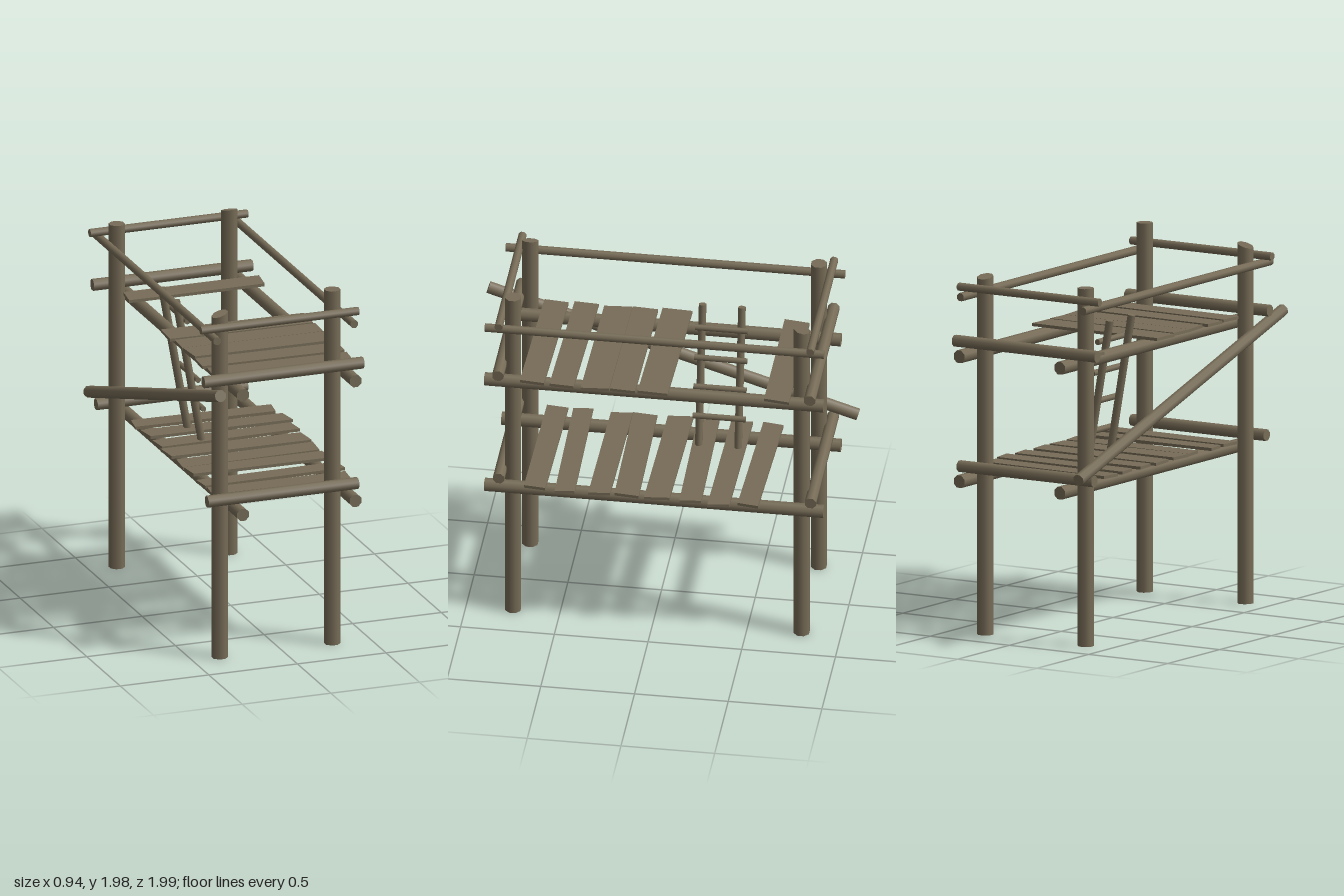
import * as THREE from 'three';

const wood = new THREE.MeshStandardMaterial({ color: 0x776c57 });
wood.name = 'weathered wood';

export function createModel() {
  const group = new THREE.Group();

  const add = (name, geometry) => {
    const mesh = new THREE.Mesh(geometry, wood);
    mesh.name = name;
    group.add(mesh);
    return mesh;
  };

  // Round pole between two points
  const pole = (name, a, b, radius) => {
    const from = new THREE.Vector3(...a);
    const to = new THREE.Vector3(...b);
    const dir = to.clone().sub(from);
    const geometry = new THREE.CylinderGeometry(radius, radius, dir.length(), 8);
    geometry.rotateY(Math.PI / 8);
    const mesh = add(name, geometry);
    mesh.position.copy(from).add(to).multiplyScalar(0.5);
    mesh.quaternion.setFromUnitVectors(new THREE.Vector3(0, 1, 0), dir.normalize());
  };

  // Upright post whose top is sawn at a slant
  const post = (x, z, height, slopeX, slopeZ) => {
    const geometry = new THREE.CylinderGeometry(0.044, 0.044, height, 8);
    geometry.rotateY(Math.PI / 8);
    geometry.translate(0, height / 2, 0);
    const p = geometry.attributes.position;
    for (let i = 0; i < p.count; i++) {
      if (p.getY(i) > height / 2) p.setY(i, height + slopeX * p.getX(i) + slopeZ * p.getZ(i));
    }
    add('post', geometry).position.set(x, 0, z);
  };
  post(0.29, 0.75, 1.98, 0, 0);
  post(-0.345, 0.75, 1.92, 0.35, 0);
  post(0.29, -0.79, 1.92, 0, 0.25);
  post(-0.345, -0.79, 1.92, 0, 0);

  // Long deck beams and hand rails
  for (const x of [-0.265, 0.37]) {
    for (const y of [0.83, 1.5]) pole('deckBeam', [x, y, -0.92], [x, y, 0.89], 0.036);
  }
  for (const x of [-0.41, 0.362]) pole('handRail', [x, 1.82, -0.92], [x, 1.82, 0.89], 0.023);

  // Cross bars on both ends: height, left end, right end, radius
  const crossBars = [[0.9, -0.44, 0.41, 0.032], [1.57, -0.46, 0.44, 0.032], [1.862, -0.475, 0.415, 0.022]];
  for (const [y, x0, x1, r] of crossBars) {
    for (const z of [0.81, -0.853]) pole('crossBar', [x0, y, z], [x1, y, z], r);
  }

  // Diagonal brace
  pole('diagonalBrace', [-0.428, 1.546, 0.985], [-0.428, 0.925, -0.987], 0.033);

  // Uneven plank: centre z, width, tilt across the deck, end positions, end slant
  const plank = (name, y, [z, width, tilt, x0, x1, slant]) => {
    const geometry = new THREE.BoxGeometry(x1 - x0, 0.016, width);
    geometry.translate((x0 + x1) / 2, 0, 0);
    const p = geometry.attributes.position;
    for (let i = 0; i < p.count; i++) {
      const x = p.getX(i), pz = p.getZ(i);
      p.setX(i, x + slant * Math.sign(pz));
      p.setZ(i, pz + tilt * (x - 0.05) / 0.8);
    }
    geometry.computeVertexNormals();
    add(name, geometry).position.set(0, y, z);
  };

  const upperPlanks = [
    [-0.675, 0.135, 0, -0.335, 0.43, -0.009],
    [-0.025, 0.16, 0.018, -0.355, 0.445, -0.004],
    [0.14, 0.135, 0.01, -0.345, 0.445, -0.004],
    [0.285, 0.15, 0.012, -0.34, 0.45, 0.006],
    [0.46, 0.13, 0.02, -0.35, 0.445, -0.004],
    [0.62, 0.13, 0.02, -0.345, 0.435, -0.006],
  ];
  for (const data of upperPlanks) plank('upperPlank', 1.542, data);

  const lowerPlanks = [
    [-0.535, 0.11, 0.025, -0.345, 0.438, -0.008],
    [-0.375, 0.115, 0.012, -0.338, 0.46, 0.008],
    [-0.21, 0.115, -0.015, -0.338, 0.445, 0.006],
    [-0.045, 0.135, 0.015, -0.345, 0.44, 0.006],
    [0.13, 0.13, -0.012, -0.34, 0.435, -0.006],
    [0.265, 0.115, 0.01, -0.335, 0.44, 0.006],
    [0.46, 0.105, -0.015, -0.345, 0.45, 0.006],
    [0.61, 0.115, 0.012, -0.345, 0.43, -0.006],
  ];
  for (const data of lowerPlanks) plank('lowerPlank', 0.873, data);

  // Leaning ladder
  for (const z of [-0.185, -0.395]) pole('ladderRail', [-0.238, 1.675, z], [-0.095, 0.875, z], 0.021);
  for (const y of [1.56, 1.39, 1.225, 1.06]) {
    const x = -0.155 + (1.39 - y) * 0.18;
    pole('ladderRung', [x, y, -0.435], [x, y, -0.153], 0.016);
  }

  return group;
}
